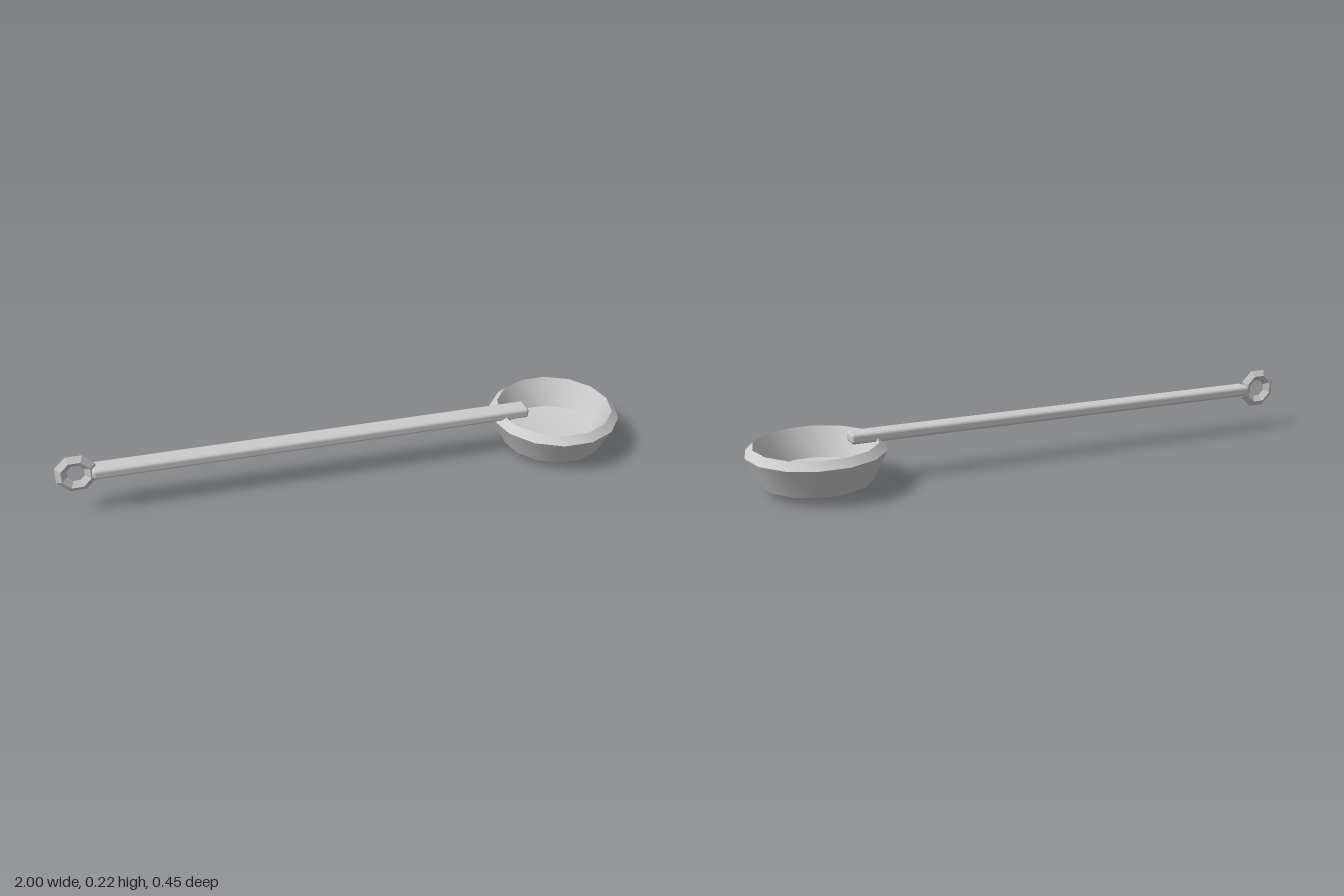
import * as THREE from 'three';
import { toCreasedNormals } from 'three/addons/utils/BufferGeometryUtils.js';
import { RoundedBoxGeometry } from 'three/addons/geometries/RoundedBoxGeometry.js';

export function createModel() {
  const model = new THREE.Group();
  model.name = 'ladle';
  const metal = new THREE.MeshStandardMaterial({ color: 0xcccccc });
  metal.name = 'light grey metal';

  const add = (name, geometry, x, y) => {
    const mesh = new THREE.Mesh(geometry, metal);
    mesh.name = name;
    mesh.position.set(x, y, 0);
    model.add(mesh);
  };

  // Bowl: 14-sided shell with a shallow pointed base and bevelled rim
  const profile = [
    [0, 0], [0.181, 0.027], [0.231, 0.129], [0.205, 0.154], [0.157, 0.056], [0, 0.03],
  ].map(([r, y]) => new THREE.Vector2(r, y));
  const bowl = new THREE.LatheGeometry(profile, 14, Math.PI / 2);
  add('bowl', toCreasedNormals(bowl, 0.6), 0.769, 0);

  // Handle: long flat bar with chamfered edges, resting over the rim
  add('handle', new RoundedBoxGeometry(1.54, 0.037, 0.068, 1, 0.012), -0.11, 0.157);

  // Hanging ring: eight sides with a diamond section
  const ring = new THREE.TorusGeometry(0.052, 0.021, 4, 8);
  ring.rotateZ(Math.PI / 8);
  ring.scale(1, 1, 0.72);
  add('hangingRing', toCreasedNormals(ring, 0.3), -0.932, 0.157);

  return model;
}
